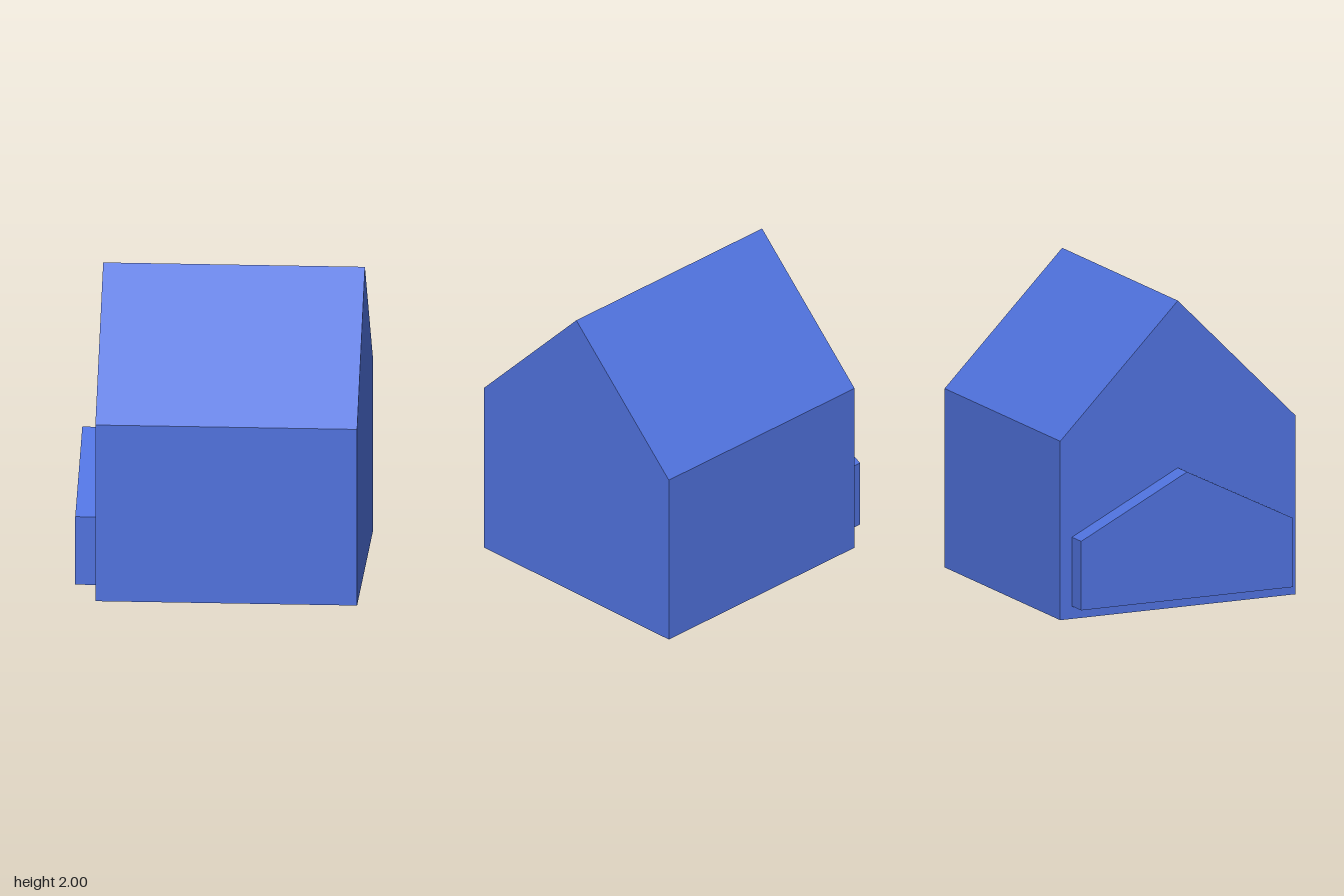
import * as THREE from 'three';

// Gabled block: pentagon profile across z, extruded along x from x0 to x1
function gabledBlock(name, x0, x1, halfWidth, bottom, eaves, ridge, material) {
  const profile = new THREE.Shape([
    [-halfWidth, bottom], [halfWidth, bottom], [halfWidth, eaves], [0, ridge], [-halfWidth, eaves],
  ].map(([z, y]) => new THREE.Vector2(z, y)));
  const geometry = new THREE.ExtrudeGeometry(profile, { depth: x1 - x0, bevelEnabled: false });
  geometry.rotateY(Math.PI / 2).translate(x0, 0, 0);
  const mesh = new THREE.Mesh(geometry, material);
  mesh.name = name;
  return mesh;
}

export function createModel() {
  const blue = new THREE.MeshStandardMaterial({ color: 0x4f71dc });
  blue.name = 'blue';
  const group = new THREE.Group();
  group.name = 'house';
  // Main house, then the raised gabled panel on its side wall
  group.add(
    gabledBlock('houseBody', -0.767, 0.9, 0.833, 0, 1.167, 2, blue),
    gabledBlock('sidePanel', -0.9, -0.767, 0.75, 0.083, 0.533, 0.91, blue),
  );
  return group;
}
